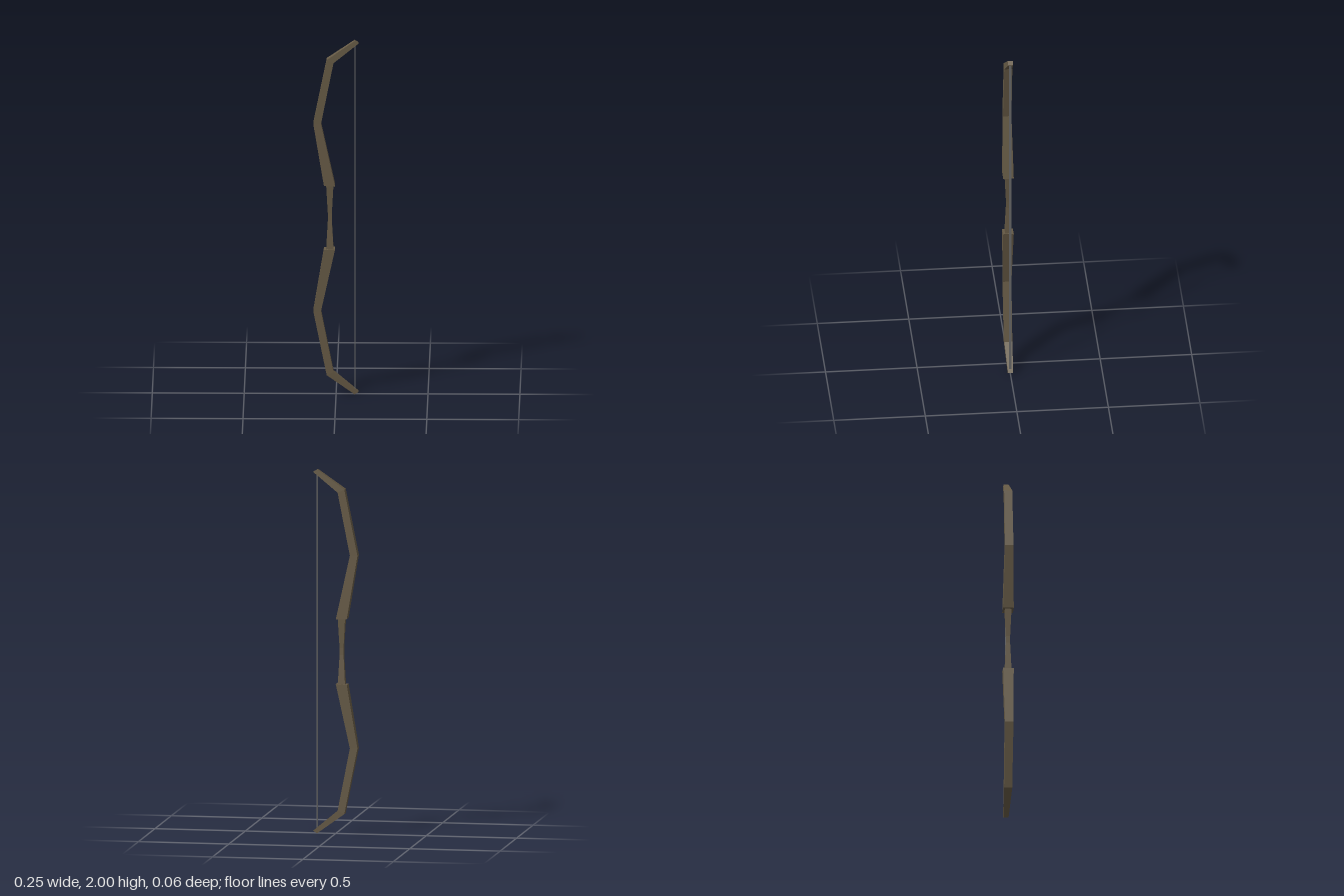
import * as THREE from 'three';

const wood = new THREE.MeshStandardMaterial({ color: 0x665a45, flatShading: true });
const cord = new THREE.MeshStandardMaterial({ color: 0x6a6a6a, flatShading: true });

// Loft of rectangular sections, listed upwards: [xLeft, yLeft, xRight, yRight, halfDepth]
function loft(name, sections) {
  const pos = [], index = [];
  for (const [xl, yl, xr, yr, d] of sections) {
    pos.push(xl, yl, d, xr, yr, d, xr, yr, -d, xl, yl, -d);
  }
  const last = (sections.length - 1) * 4;
  for (let s = 0; s < last; s += 4) {
    for (let i = 0; i < 4; i++) {
      const a = s + i, b = s + (i + 1) % 4;
      index.push(a, b, b + 4, a, b + 4, a + 4);
    }
  }
  index.push(0, 2, 1, 0, 3, 2, last, last + 1, last + 2, last, last + 2, last + 3);
  const indexed = new THREE.BufferGeometry();
  indexed.setAttribute('position', new THREE.Float32BufferAttribute(pos, 3));
  indexed.setIndex(index);
  const geometry = indexed.toNonIndexed();
  geometry.computeVertexNormals();
  const mesh = new THREE.Mesh(geometry, wood);
  mesh.name = name;
  return mesh;
}

export function createModel() {
  const bow = new THREE.Group();
  bow.name = 'bow';

  // Recurved limbs, the lower one mirrored about the grip
  const limb = [
    [-0.066, 1.183, -0.005, 1.179, 0.029],
    [-0.124, 1.532, -0.082, 1.532, 0.023],
    [-0.051, 1.894, -0.014, 1.876, 0.022],
    [0.101, 2.0, 0.123, 1.986, 0.014],
  ];
  const middle = 1.002;
  const lower = limb.map(([xl, yl, xr, yr, d], i) => {
    const sum = i === 3 ? 2 : 2 * middle;
    return [xl, sum - yl, xr, sum - yr, d];
  }).reverse();
  bow.add(loft('upperLimb', limb), loft('lowerLimb', lower));

  // Waisted grip
  bow.add(loft('grip', [-0.18, -0.02, 0.02, 0.18].map((h) => {
    const end = Math.abs(h) > 0.1;
    const w = end ? 0.02 : 0.011;
    return [-0.034 - w, middle + h, -0.034 + w, middle + h, end ? 0.018 : 0.011];
  })));

  // Bowstring
  const string = new THREE.Mesh(new THREE.BoxGeometry(0.007, 1.96, 0.012), cord);
  string.name = 'bowstring';
  string.position.set(0.103, 1, 0);
  bow.add(string);

  return bow;
}
